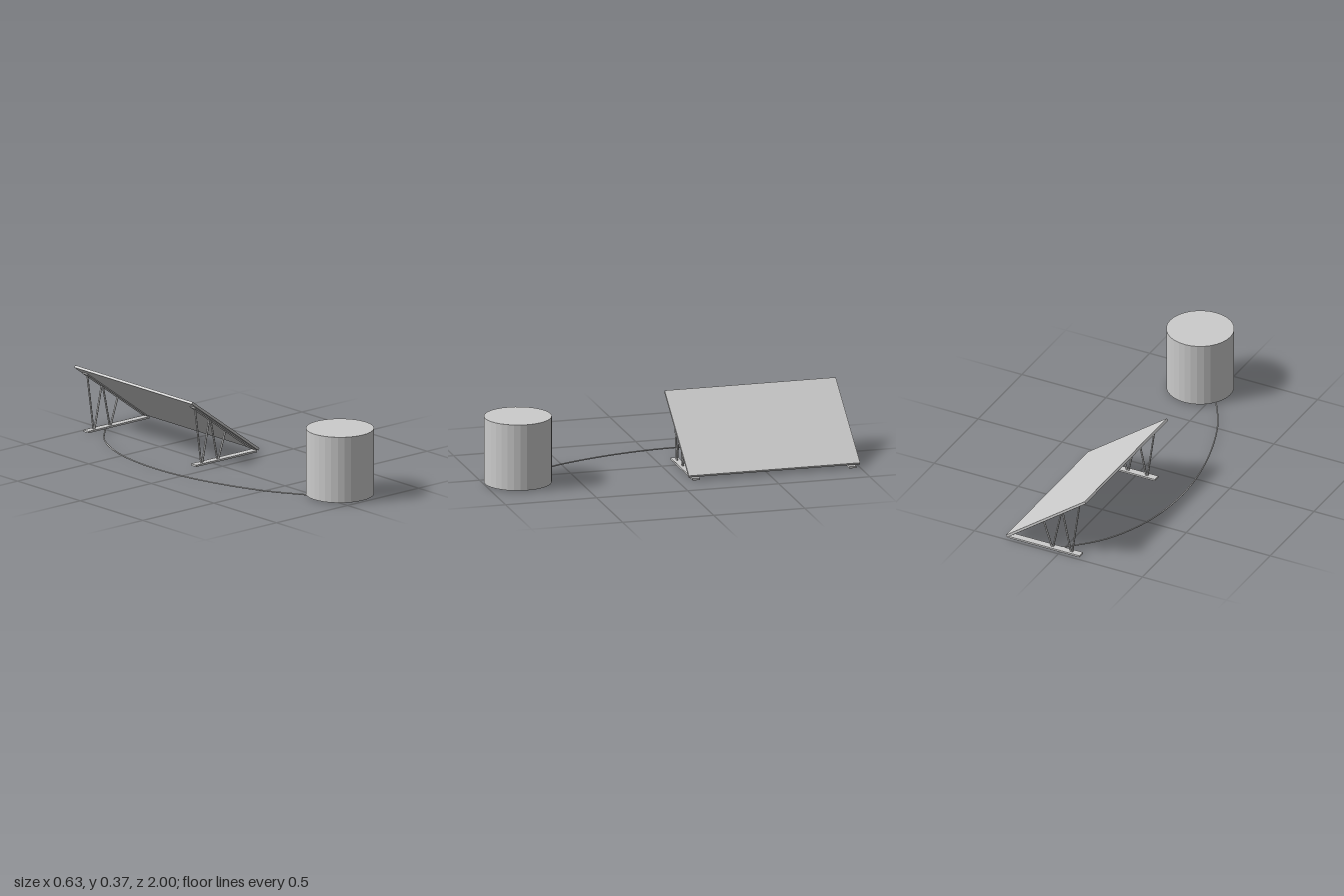
import * as THREE from 'three';

const grey = new THREE.MeshStandardMaterial({ color: 0xcccccc });
const faceted = new THREE.MeshStandardMaterial({ color: 0xcccccc, flatShading: true });

function mesh(name, geometry, material = grey) {
  const m = new THREE.Mesh(geometry, material);
  m.name = name;
  return m;
}

// Round bar between two points
function bar(name, from, to, radius) {
  const dir = to.clone().sub(from);
  const m = mesh(name, new THREE.CylinderGeometry(radius, radius, dir.length(), 8));
  m.position.copy(from).add(to).multiplyScalar(0.5);
  m.quaternion.setFromUnitVectors(new THREE.Vector3(0, 1, 0), dir.normalize());
  return m;
}

// Slab lying along the panel's slope, s0..s1 measured down from the high edge
const SLOPE = Math.atan2(0.342, 0.468);
const HIGH_EDGE = new THREE.Vector2(-0.155, 0.369);
function slopedSlab(name, s0, s1, depth, thickness, width, z) {
  const m = mesh(name, new THREE.BoxGeometry(s1 - s0, thickness, width));
  const s = (s0 + s1) / 2, d = depth + thickness / 2;
  const c = Math.cos(SLOPE), n = Math.sin(SLOPE);
  m.position.set(HIGH_EDGE.x + s * c - d * n, HIGH_EDGE.y - s * n - d * c, z);
  m.rotation.z = -SLOPE;
  return m;
}

export function createModel() {
  const model = new THREE.Group();
  model.name = 'panelAndTank';

  // Tank
  const tank = mesh('tank', new THREE.CylinderGeometry(0.18, 0.18, 0.36, 32), faceted);
  tank.position.set(0.105, 0.187, 0.82);
  model.add(tank);

  // Tilted panel
  model.add(slopedSlab('panel', 0, 0.58, 0, 0.0136, 0.94, -0.53));

  // Two support frames: skid, rail under the panel and a zigzag of struts
  const underside = (x) => 0.34 - 0.731 * (x + 0.14);
  const zigzag = [[-0.105, -0.062], [-0.004, -0.054], [0.004, 0.052], [0.11, 0.06]];
  for (const z of [-0.1, -0.96]) {
    const frame = new THREE.Group();
    frame.name = 'supportFrame';
    const skid = mesh('skid', new THREE.BoxGeometry(0.43, 0.01, 0.04));
    skid.position.set(0.1, 0.005, z);
    frame.add(skid, slopedSlab('rail', 0.052, 0.568, 0.0136, 0.006, 0.04, z));
    for (const [top, foot] of zigzag) {
      frame.add(bar('strut', new THREE.Vector3(foot, 0.008, z),
        new THREE.Vector3(top, underside(top), z), 0.005));
    }
    model.add(frame);
  }

  // Cable curving over the ground from the tank to the rear frame
  const path = [[-0.03, 0.74], [-0.16, 0.51], [-0.272, 0.16], [-0.311, -0.18],
    [-0.272, -0.5], [-0.16, -0.757], [0.01, -0.945]];
  const curve = new THREE.CatmullRomCurve3(path.map(([x, z]) => new THREE.Vector3(x, 0.0065, z)));
  model.add(mesh('cable', new THREE.TubeGeometry(curve, 64, 0.004, 8)));

  return model;
}
